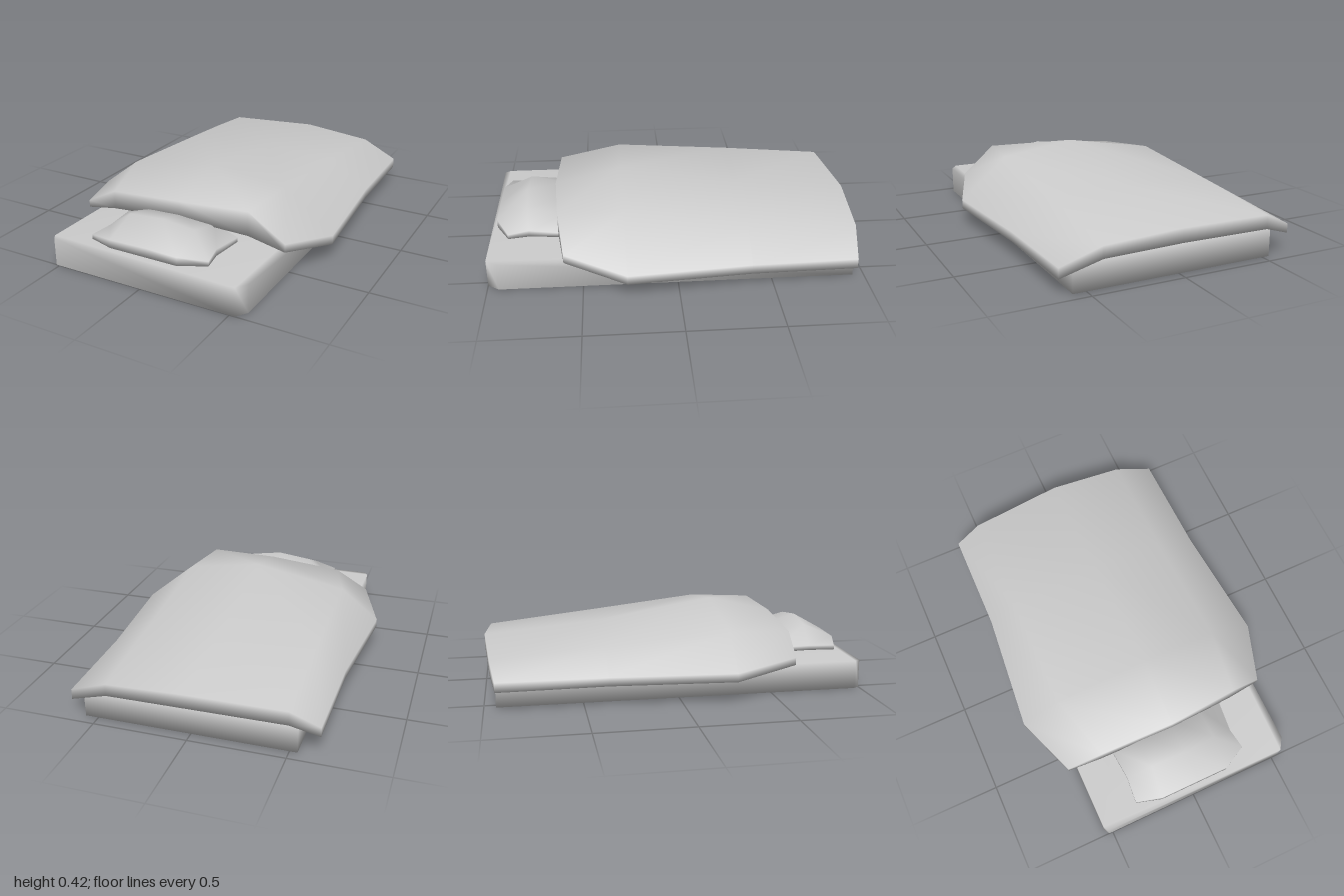
import * as THREE from 'three';
import { mergeVertices } from 'three/addons/utils/BufferGeometryUtils.js';

// Closed padded shape lofted from back to front.
// Each section is a list of [x, z, topY, bottomY] columns running from -x to +x.
function padded(sections) {
  const n = sections[0].length, ring = n * 2;
  const pos = [], index = [];
  for (const s of sections) {
    for (const [x, z, top] of s) pos.push(x, top, z);
    for (const [x, z, , bottom] of [...s].reverse()) pos.push(x, bottom, z);
  }
  const quad = (a, b, c, d) => index.push(a, b, c, a, c, d);
  for (let i = 0; i < sections.length - 1; i++) {
    for (let j = 0; j < ring; j++) {
      const k = (j + 1) % ring, a = i * ring, b = a + ring;
      quad(a + j, b + j, b + k, a + k);
    }
  }
  // end faces
  const last = (sections.length - 1) * ring;
  for (let j = 0; j < n - 1; j++) {
    const u = ring - 1 - j;
    quad(j, j + 1, u - 1, u);
    quad(last + j, last + u, last + u - 1, last + j + 1);
  }
  const g = new THREE.BufferGeometry();
  g.setAttribute('position', new THREE.Float32BufferAttribute(pos, 3));
  g.setIndex(index);
  g.computeVertexNormals();
  return g;
}

// Slab with clipped front corners, shaded softly across its edges
function mattressGeometry() {
  const outline = [[-0.54, 0.94], [0.57, 0.94], [0.57, -0.94], [0.53, -1], [-0.52, -1], [-0.54, -0.97]];
  const shape = new THREE.Shape(outline.map(([x, y]) => new THREE.Vector2(x, y)));
  let g = new THREE.ExtrudeGeometry(shape, { depth: 0.152, bevelEnabled: false });
  g.rotateX(-Math.PI / 2);
  g.deleteAttribute('normal');
  g.deleteAttribute('uv');
  g = mergeVertices(g);
  g.computeVertexNormals();
  return g;
}

export function createModel() {
  const group = new THREE.Group();
  const fabric = new THREE.MeshStandardMaterial({ color: 0xcccccc });
  fabric.name = 'pale grey fabric';

  const add = (name, geometry) => {
    const mesh = new THREE.Mesh(geometry, fabric);
    mesh.name = name;
    group.add(mesh);
  };

  add('mattress', mattressGeometry());

  // Pillow: waisted sides and a raised middle
  add('pillow', padded([
    [[-0.33, 0.61, 0.19, 0.165], [-0.18, 0.6, 0.235, 0.16], [0.02, 0.6, 0.245, 0.16], [0.2, 0.6, 0.23, 0.16], [0.335, 0.61, 0.19, 0.165]],
    [[-0.315, 0.79, 0.19, 0.165], [-0.18, 0.8, 0.285, 0.157], [0.02, 0.81, 0.305, 0.157], [0.2, 0.8, 0.28, 0.157], [0.315, 0.79, 0.2, 0.165]],
    [[-0.328, 0.93, 0.19, 0.165], [-0.19, 0.97, 0.21, 0.165], [0.02, 0.97, 0.215, 0.165], [0.2, 0.97, 0.21, 0.165], [0.335, 0.9, 0.19, 0.165]],
  ]));

  // Quilt: highest near the front, drooping over both sides
  add('quilt', padded([
    [[-0.65, -0.94, 0.16, 0.11], [-0.5, -0.965, 0.235, 0.16], [0.02, -1, 0.255, 0.18], [0.43, -0.975, 0.225, 0.16], [0.64, -0.94, 0.14, 0.085]],
    [[-0.655, -0.38, 0.16, 0.115], [-0.5, -0.38, 0.285, 0.165], [0.02, -0.38, 0.308, 0.18], [0.43, -0.38, 0.29, 0.165], [0.655, -0.38, 0.14, 0.088]],
    [[-0.715, 0.27, 0.165, 0.12], [-0.5, 0.28, 0.33, 0.19], [0.02, 0.29, 0.42, 0.24], [0.44, 0.28, 0.363, 0.2], [0.712, 0.27, 0.14, 0.09]],
    [[-0.59, 0.615, 0.2, 0.16], [-0.4, 0.635, 0.3, 0.2], [0.02, 0.65, 0.335, 0.24], [0.4, 0.625, 0.352, 0.22], [0.59, 0.595, 0.205, 0.16]],
  ]));

  return group;
}
